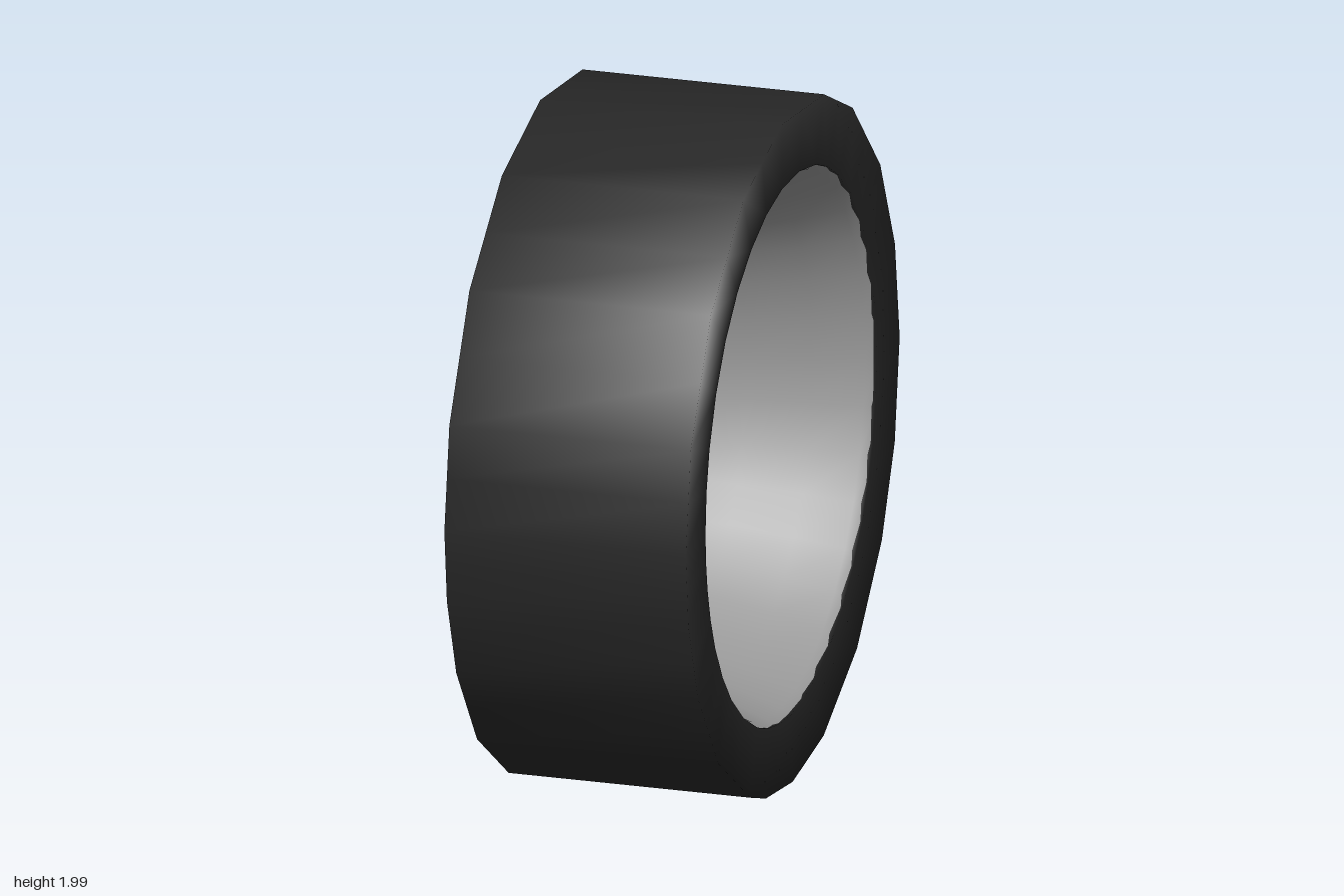
import * as THREE from 'three';

const TAU = Math.PI * 2;

// Surface swept around the x axis. profile: [x, radius, chord?]; a chord row is cut straight between corners.
// A repeated profile point makes a crease. The outside lies on the left when walking from +x to -x.
function sweep(profile, spin) {
  const pos = [], idx = [], n = spin.length;
  for (const [x, r, chord] of profile) {
    for (const { a, cut } of spin) {
      const q = chord ? r * cut : r;
      pos.push(x, q * Math.sin(a), q * Math.cos(a));
    }
  }
  for (let i = 0; i < profile.length - 1; i++) {
    const [p, q] = [profile[i], profile[i + 1]];
    if (p[0] === q[0] && p[1] === q[1]) continue;
    for (let j = 0; j < n; j++) {
      const k = (j + 1) % n;
      const a = i * n + j, b = i * n + k, c = a + n, d = b + n;
      if (p[1] > 0) idx.push(a, b, c);
      if (q[1] > 0) idx.push(b, d, c);
    }
  }
  const g = new THREE.BufferGeometry();
  g.setAttribute('position', new THREE.Float32BufferAttribute(pos, 3));
  g.setIndex(idx);
  g.computeVertexNormals();
  return g;
}

const evenSpin = (n) => Array.from({ length: n }, (_, i) => ({ a: (i / n) * TAU, cut: 1 }));

// Uneven corners with a point halfway along each side
function cornerSpin(degrees) {
  const out = [];
  degrees.forEach((d, i) => {
    const next = i + 1 < degrees.length ? degrees[i + 1] : degrees[0] + 360;
    const half = THREE.MathUtils.degToRad((next - d) / 2);
    const a = THREE.MathUtils.degToRad(d);
    out.push({ a, cut: 1 }, { a: a + half, cut: Math.cos(half) });
  });
  return out;
}

export function createModel() {
  const rubber = new THREE.MeshStandardMaterial({ color: 0x272727 });
  rubber.name = 'rubber';
  const metal = new THREE.MeshStandardMaterial({ color: 0x999999 });
  metal.name = 'metal';

  const model = new THREE.Group();
  model.name = 'wheel';
  const wheel = new THREE.Group();
  wheel.name = 'wheelAssembly';
  wheel.position.y = 1;
  model.add(wheel);
  const add = (name, geometry, material, parent = wheel) => {
    const mesh = new THREE.Mesh(geometry, material);
    mesh.name = name;
    parent.add(mesh);
    return mesh;
  };

  // Tyre: faceted tread with round openings
  const corners = [0, 17.5, 40, 62.5, 84, 107, 124, 145, 163, 180,
    197.4, 213.5, 233, 253.2, 270, 284.6, 293.5, 314, 332.7, 347.5];
  add('tyre', sweep([
    [0.33, 0.8], [0.35, 0.8], [0.355, 1, true],
    [-0.36, 1, true], [-0.355, 0.8], [-0.33, 0.8],
  ], cornerSpin(corners)), rubber);

  // Rim: spoke-side face, then the barrel widening towards the open side
  add('rim', sweep([
    [-0.35, 0.805], [-0.335, 0.78], [-0.325, 0.73], [-0.33, 0.67], [-0.33, 0.67],
    [-0.2, 0.67], [0, 0.69], [0.18, 0.735], [0.32, 0.785], [0.348, 0.805],
  ], evenSpin(36)), metal);

  // Hub: domed back, rounded collar and recessed bowl on the spoke side
  add('hub', sweep([
    [-0.2, 0], [-0.21, 0.1], [-0.245, 0.235], [-0.27, 0.265],
    [-0.33, 0.27], [-0.352, 0.25], [-0.352, 0.22], [-0.335, 0.195],
    [-0.29, 0.175], [-0.28, 0.15], [-0.28, 0],
  ], evenSpin(20)), metal);

  // Centre nut
  const nut = add('centreNut', new THREE.CylinderGeometry(0.03, 0.085, 0.075, 5).toNonIndexed(), metal);
  nut.geometry.computeVertexNormals();
  nut.rotation.z = Math.PI / 2;
  nut.position.x = -0.315;

  // Fifteen tapered spokes
  const spokes = new THREE.Group();
  spokes.name = 'spokes';
  wheel.add(spokes);
  const spokeShape = new THREE.CylinderGeometry(0.018, 0.031, 0.5, 8);
  spokeShape.translate(0, 0.49, 0);
  spokeShape.translate(-0.325, 0, 0);
  for (let i = 0; i < 15; i++) {
    add('spoke', spokeShape, metal, spokes).rotation.x = (i / 15) * TAU;
  }

  return model;
}
